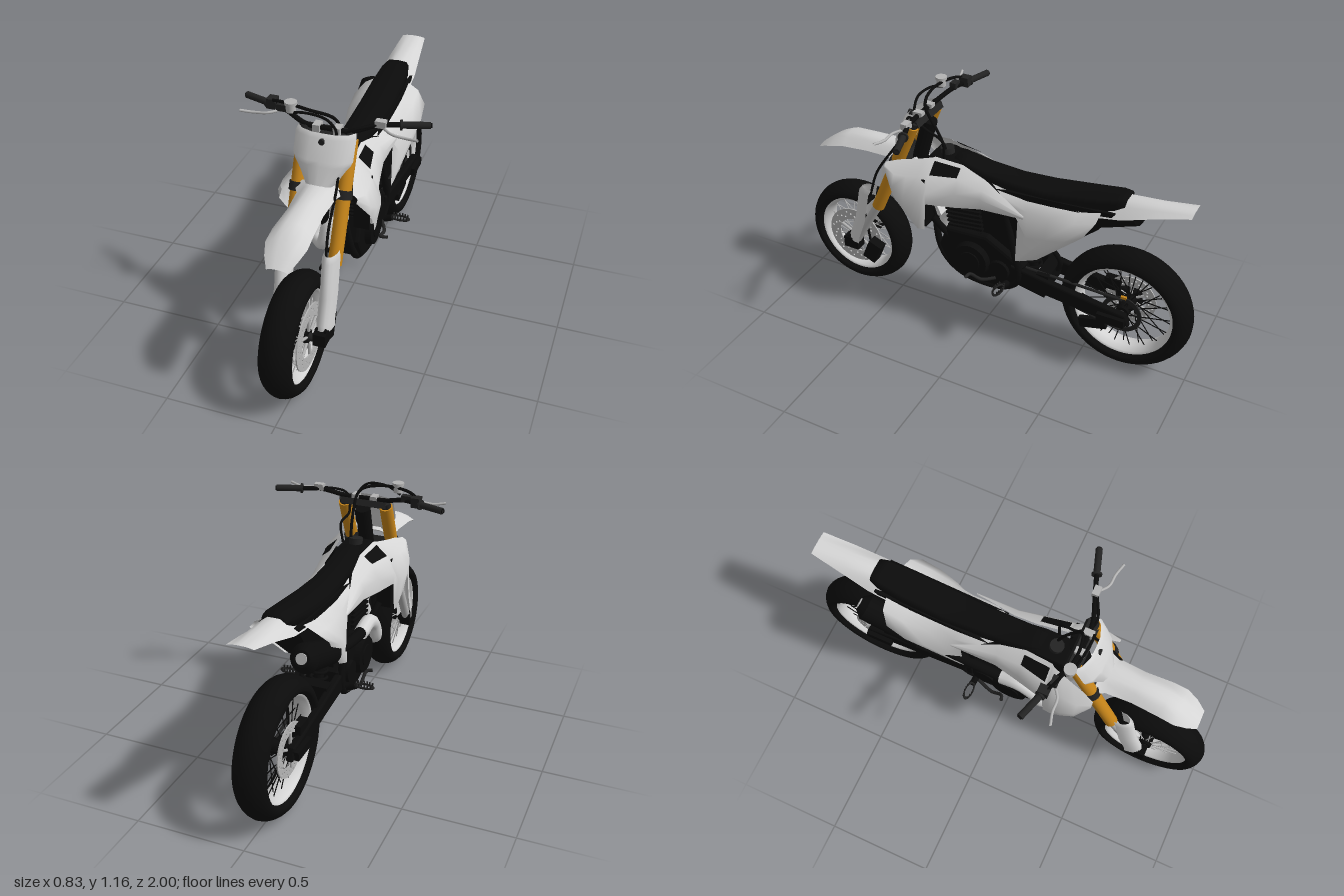
import * as THREE from 'three';

const mat = (name, color) => {
  const m = new THREE.MeshStandardMaterial({ color, side: THREE.DoubleSide });
  m.name = name;
  return m;
};

export function createModel() {
  const root = new THREE.Group();
  root.name = 'dirtBike';
  const plastic = mat('lightPlastic', 0xd4d4d4), black = mat('black', 0x0b0b0b);
  const gold = mat('gold', 0xc8861a), silver = mat('silver', 0xb4b4b4), dark = mat('darkGrey', 0x222222);

  const V = (p) => new THREE.Vector3(...p);
  const add = (name, geo, m, parent = root) => {
    const mesh = new THREE.Mesh(geo, m);
    mesh.name = name;
    parent.add(mesh);
    return mesh;
  };
  const both = (fn) => [1, -1].forEach(fn);
  const box = (name, m, size, pos, rx = 0) => {
    const b = add(name, new THREE.BoxGeometry(...size), m);
    b.position.set(...pos);
    b.rotation.x = rx;
    return b;
  };
  // straight round bar from a to b
  const rod = (name, m, a, b, ra, rb = ra, sides = 16, parent = root) => {
    const A = V(a), B = V(b), d = B.clone().sub(A);
    const r = add(name, new THREE.CylinderGeometry(rb, ra, d.length(), sides), m, parent);
    r.position.copy(A).add(B).multiplyScalar(0.5);
    r.quaternion.setFromUnitVectors(new THREE.Vector3(0, 1, 0), d.normalize());
    return r;
  };
  const tube = (name, m, pts, r, n = 40) =>
    add(name, new THREE.TubeGeometry(new THREE.CatmullRomCurve3(pts.map(V)), n, r, 10), m);
  // profile of [z, y] points, thickened from x0 to x1
  const slab = (name, m, pts, x0, x1, bevel = 0) => {
    const g = new THREE.ExtrudeGeometry(new THREE.Shape(pts.map((p) => new THREE.Vector2(...p))), {
      depth: x1 - x0 - 2 * bevel, bevelEnabled: bevel > 0, bevelThickness: bevel, bevelSize: bevel,
      bevelOffset: -bevel, bevelSegments: 2 });
    g.rotateY(-Math.PI / 2).translate(x1 - bevel, 0, 0);
    return add(name, g, m);
  };
  // skin through equal-length rows of [x, y, z] points
  const loft = (name, m, rows, s = 1, closed = false) => {
    const n = rows[0].length, pos = [], idx = [];
    rows.forEach((r) => r.forEach(([x, y, z]) => pos.push(x * s, y, z)));
    for (let i = 0; i < rows.length - 1; i++)
      for (let j = 0; j < (closed ? n : n - 1); j++) {
        const k = (j + 1) % n, a = i * n + j, b = i * n + k;
        idx.push(a, b, a + n, b, b + n, a + n);
      }
    if (closed) [0, (rows.length - 1) * n].forEach((o) => {
      for (let j = 1; j < n - 1; j++) idx.push(o, o + (o ? j : j + 1), o + (o ? j + 1 : j));
    });
    const g = new THREE.BufferGeometry();
    g.setAttribute('position', new THREE.Float32BufferAttribute(pos, 3));
    g.setIndex(idx);
    g.computeVertexNormals();
    return add(name, g, m);
  };

  // Wheels: tyre, rim, hub, spokes, brake disc
  const wheel = (name, x, y, z, R, rimR, w, spokeMat, discSide, discR) => {
    const g = new THREE.Group();
    g.name = name;
    g.position.set(x, y, z);
    root.add(g);
    const ring = (part, m, pts) => {
      const l = new THREE.LatheGeometry(pts.map((p) => new THREE.Vector2(...p)), 56);
      add(part, l.rotateZ(Math.PI / 2), m, g);
    };
    const t = R - rimR;
    const half = [[rimR, 0.68], [rimR + t * 0.12, 0.92], [R - t * 0.74, 1], [R - t * 0.52, 0.93], [R - t * 0.34, 0.78],
      [R - t * 0.17, 0.56], [R - t * 0.06, 0.32]];
    ring('tyre', black, [...half.map(([r, u]) => [r, -u * w]), [R, 0], ...half.reverse().map(([r, u]) => [r, u * w])]);
    ring('rim', plastic, [[rimR + 0.006, -w * 0.68], [rimR - 0.012, -w * 0.64], [rimR - 0.022, -w * 0.2],
      [rimR - 0.022, w * 0.2], [rimR - 0.012, w * 0.64], [rimR + 0.006, w * 0.68]]);
    rod('hub', black, [-0.06, 0, 0], [0.06, 0, 0], 0.032, 0.032, 20, g);
    rod('axle', dark, [-0.11, 0, 0], [0.11, 0, 0], 0.018, 0.018, 12, g);
    for (let i = 0; i < 36; i++) {
      const a = (i / 36) * Math.PI * 2, b = a + (i % 4 < 2 ? 0.35 : -0.35), s = i % 2 ? 1 : -1, r = rimR - 0.02;
      rod('spoke', spokeMat, [s * 0.045, Math.cos(b) * 0.034, Math.sin(b) * 0.034],
        [s * 0.01, Math.cos(a) * r, Math.sin(a) * r], 0.0026, 0.0026, 5, g);
    }
    const disc = (part, m, r, inner, px, holes) => {
      const sh = new THREE.Shape().absarc(0, 0, r, 0, Math.PI * 2);
      sh.holes.push(new THREE.Path().absarc(0, 0, inner, 0, Math.PI * 2, true));
      for (let i = 0; i < holes; i++) {
        const a = (i / holes) * Math.PI * 2, q = inner + (r - inner) * (0.28 + 0.22 * (i % 3));
        sh.holes.push(new THREE.Path().absarc(Math.cos(a) * q, Math.sin(a) * q, 0.005, 0, Math.PI * 2, true));
      }
      const d = add(part, new THREE.ExtrudeGeometry(sh, { depth: 0.006, bevelEnabled: false, curveSegments: 20 }), m, g);
      d.rotation.y = Math.PI / 2;
      d.position.x = px;
    };
    disc('brakeDisc', silver, discR, discR * 0.62, discSide * 0.058, 36);
    for (let i = 0; i < 6; i++) {
      const a = (i * Math.PI) / 3, c = Math.cos(a), s = Math.sin(a), q = discR * 0.7;
      rod('discArm', silver, [discSide * 0.058, c * 0.03, s * 0.03], [discSide * 0.06, c * q, s * q], 0.007, 0.007, 6, g);
    }
    if (discSide < 0) disc('sprocket', dark, 0.095, 0.075, 0.06, 0);
  };
  wheel('frontWheel', -0.008, 0.28, 0.725, 0.277, 0.205, 0.074, silver, 1, 0.15);
  wheel('rearWheel', -0.012, 0.312, -0.688, 0.312, 0.235, 0.077, black, -1, 0.122);
  box('chainLink', gold, [0.012, 0.012, 0.025], [0.06, 0.413, -0.695]);

  // Fork legs, guards and clamps
  const fz = (y) => 0.337 + (1.016 - y) * 0.432;
  both((s) => {
    const x = s * 0.102;
    rod('forkTube', gold, [x, 0.54, fz(0.54)], [x, 1.03, fz(1.03)], 0.03, 0.031, 20);
    rod('forkSlider', silver, [x, 0.29, 0.69], [x, 0.56, fz(0.56)], 0.021);
    rod('forkCap', dark, [x, 1.03, fz(1.03)], [x, 1.055, fz(1.055)], 0.024);
    rod('forkClamp', dark, [x, 0.80, fz(0.80)], [x, 0.835, fz(0.835)], 0.037);
    box('axleLug', black, [0.055, 0.06, 0.08], [x, 0.285, 0.705]);
    const rows = [[0.635, 0.6], [0.61, 0.612], [0.45, 0.645], [0.34, 0.685], [0.305, 0.69]].map(([y, z], k) =>
      Array.from({ length: 9 }, (_, i) => {
        const a = (i / 8) * Math.PI, r = k === 0 ? 0.03 : 0.037;
        return [x + r * Math.cos(a), y, z - 0.04 + (r + 0.035) * Math.sin(a)];
      }));
    loft('forkGuard', plastic, rows);
    both((t) => rod('guardBolt', black, [x + t * 0.02, 0.322, 0.71], [x + t * 0.02, 0.322, 0.724], 0.007, 0.007, 8));
  });
  box('lowerClamp', dark, [0.2, 0.04, 0.07], [0, 0.82, fz(0.82)], 0.4);
  box('upperClamp', dark, [0.22, 0.03, 0.06], [0, 1.035, fz(1.03) - 0.005], 0.4);
  rod('steeringHead', black, [0, 0.78, 0.37], [0, 1.02, 0.3], 0.035);
  box('frontCaliper', black, [0.05, 0.11, 0.07], [0.085, 0.25, 0.6], -0.4);
  tube('brakeHose', black, [[0.05, 1.03, 0.355], [0.07, 0.95, 0.395], [0.082, 0.87, 0.45], [0.08, 0.71, 0.555], [0.085, 0.57, 0.6],
    [0.1, 0.5, 0.63], [0.075, 0.42, 0.64], [0.08, 0.28, 0.62]], 0.006);
  box('hoseClip', black, [0.07, 0.015, 0.03], [0.095, 0.56, 0.6]);

  // Fenders: [z, half width, crown height, edge drop]
  const fender = (name, list) => loft(name, plastic, list.map(([z, w, y, d]) =>
    [[-1, 1], [-0.62, 0.3], [-0.3, 0], [0, 0], [0.3, 0], [0.62, 0.3], [1, 1]].map(([u, v]) => [u * w, y - v * d, z])));
  fender('frontFender', [[0.43, 0.118, 0.866, 0.03], [0.48, 0.085, 0.866, 0.045], [0.6, 0.078, 0.866, 0.05],
    [0.73, 0.086, 0.855, 0.045], [0.8, 0.088, 0.822, 0.028], [0.855, 0.07, 0.785, 0.015], [0.9, 0.045, 0.75, 0.008]]);
  fender('rearFender', [[-0.45, 0.085, 0.845, 0.03], [-0.56, 0.09, 0.875, 0.06], [-0.66, 0.088, 0.898, 0.065],
    [-0.8, 0.074, 0.906, 0.03], [-0.945, 0.058, 0.917, 0.006]]);

  // Front plate
  loft('frontPlate', plastic, [[1.062, 0.125, 0.38], [1.045, 0.132, 0.397], [0.96, 0.131, 0.436], [0.94, 0.122, 0.443], [0.84, 0.055, 0.48]]
    .map(([y, w, z]) => [-1, -0.8, -0.4, 0, 0.4, 0.8, 1].map((u) => [u * w, y, z - 0.045 * u ** 4])));
  rod('plateBolt', dark, [0, 1.035, 0.39], [0, 1.035, 0.408], 0.013);

  // Shrouds, side panels, radiators
  both((s) => {
    loft('shroud', plastic, [
      [0.45, 0.15, 0.84, 0.165, 0.83, 0.17, 0.82, 0.165, 0.8], [0.39, 0.13, 0.858, 0.185, 0.808, 0.208, 0.755, 0.205, 0.71],
      [0.33, 0.115, 0.868, 0.18, 0.812, 0.216, 0.715, 0.202, 0.63],
      [0.275, 0.1, 0.88, 0.17, 0.82, 0.217, 0.7, 0.188, 0.55], [0.24, 0.09, 0.888, 0.155, 0.825, 0.205, 0.71, 0.186, 0.555],
      [0.23, 0.08, 0.89, 0.15, 0.825, 0.19, 0.75, 0.185, 0.695], [0.1, 0.065, 0.875, 0.125, 0.83, 0.155, 0.77, 0.155, 0.7],
      [-0.02, 0.075, 0.835, 0.115, 0.8, 0.133, 0.765, 0.133, 0.715], [-0.235, 0.135, 0.745, 0.138, 0.742, 0.14, 0.738, 0.135, 0.73],
    ].map(([z, ...p]) => [0, 2, 4, 6].map((i) => [p[i], p[i + 1], z])), s);
    loft('shroudInset', black, [
      [[0.098, 0.879, 0.225], [0.15, 0.832, 0.225]], [[0.085, 0.868, 0.1], [0.124, 0.838, 0.1]]], s);
    loft('sidePanel', plastic, [
      [[0.07, 0.825, -0.05], [0.1, 0.795, -0.11], [0.115, 0.765, -0.16], [0.12, 0.735, -0.2]],
      [[0.08, 0.8, -0.22], [0.115, 0.76, -0.24], [0.14, 0.64, -0.25], [0.12, 0.48, -0.19]],
      [[0.085, 0.8, -0.34], [0.13, 0.765, -0.35], [0.17, 0.68, -0.35], [0.125, 0.49, -0.215]],
      [[0.085, 0.81, -0.46], [0.14, 0.785, -0.47], [0.187, 0.71, -0.44], [0.13, 0.53, -0.3]],
      [[0.085, 0.84, -0.57], [0.135, 0.812, -0.565], [0.18, 0.76, -0.53], [0.135, 0.57, -0.34]]], s);
    box('radiator', black, [0.07, 0.25, 0.05], [s * 0.133, 0.685, 0.265]);
    for (let i = 0; i < 5; i++) box('louvre', plastic, [0.012, 0.03, 0.02], [s * 0.178, 0.61 + i * 0.033, 0.28]);
  });
  box('frontFramePanel', plastic, [0.11, 0.3, 0.02], [0, 0.69, 0.3], 0.45);

  // Seat: [z, half width, top, bottom]
  loft('seat', black, [[0.155, 0.045, 0.893, 0.86], [0.1, 0.058, 0.886, 0.82], [0, 0.065, 0.864, 0.8], [-0.15, 0.07, 0.852, 0.79],
    [-0.3, 0.08, 0.856, 0.785], [-0.5, 0.077, 0.884, 0.8], [-0.62, 0.066, 0.907, 0.84], [-0.66, 0.055, 0.908, 0.87]]
    .map(([z, w, t, b]) => [[-w, b, z], [-w, t - 0.02, z], [-w * 0.8, t - 0.004, z], [0, t, z],
      [w * 0.8, t - 0.004, z], [w, t - 0.02, z], [w, b, z]]), 1, true);

  // Frame, airbox and tank
  slab('airbox', black, [[-0.05, 0.81], [-0.63, 0.85], [-0.56, 0.75], [-0.36, 0.57], [-0.2, 0.5], [-0.12, 0.66]], -0.085, 0.085);
  slab('tank', black, [[0.27, 0.88], [0.14, 0.88], [-0.1, 0.81], [-0.15, 0.7], [0.2, 0.69], [0.33, 0.78]], -0.065, 0.065, 0.012);
  rod('tankCap', dark, [0, 0.87, 0.21], [0, 0.905, 0.215], 0.032);
  both((s) => {
    tube('frameRail', black, [[0, 0.82, 0.33], [s * 0.04, 0.6, 0.27], [s * 0.065, 0.38, 0.22], [s * 0.065, 0.28, 0.12],
      [s * 0.08, 0.275, -0.1], [s * 0.095, 0.36, -0.2], [s * 0.095, 0.52, -0.17], [s * 0.07, 0.75, -0.1]], 0.017);
    // Swingarm
    slab('swingarm', black, [[-0.16, 0.43], [-0.4, 0.39], [-0.72, 0.345], [-0.74, 0.29], [-0.6, 0.29], [-0.4, 0.315], [-0.16, 0.34]],
      s > 0 ? 0.07 : -0.105, s > 0 ? 0.105 : -0.07, 0.008);
    box('axleBlock', black, [0.03, 0.04, 0.13], [s * 0.11, 0.312, -0.66]);
    rod('chainRun', dark, [0.06, 0.312 + s * 0.085, -0.688], [0.06, 0.385 + s * 0.03, -0.12], 0.007, 0.007, 6);
    // Foot pegs
    const peg = add('footPeg', new THREE.TorusGeometry(0.034, 0.006, 6, 20), dark);
    peg.rotation.x = Math.PI / 2;
    peg.scale.set(1.25, 0.55, 1);
    peg.position.set(s * 0.185, 0.34, -0.14);
    for (let i = 0; i < 6; i++) both((t) => box('pegTooth', dark, [0.006, 0.014, 0.006],
      [s * (0.15 + i * 0.014), 0.35, -0.14 + t * (0.012 + 0.003 * Math.min(i, 5 - i))]));
    rod('pegMount', black, [s * 0.08, 0.31, -0.14], [s * 0.145, 0.335, -0.14], 0.016);
  });
  box('swingarmBridge', black, [0.17, 0.08, 0.06], [0, 0.375, -0.31]);
  box('shockLinkage', black, [0.07, 0.05, 0.14], [0, 0.285, -0.24], -0.2);
  box('chainGuide', black, [0.025, 0.05, 0.13], [0.06, 0.22, -0.56], 0.25);
  box('rearCaliper', black, [0.04, 0.06, 0.08], [-0.075, 0.37, -0.6]);
  rod('shock', black, [0, 0.3, -0.24], [0, 0.68, -0.2], 0.022);
  for (let i = 0; i < 7; i++) {
    const c = add('shockCoil', new THREE.TorusGeometry(0.037, 0.007, 6, 18), black);
    c.rotation.x = Math.PI / 2 + 0.1;
    c.position.set(0, 0.4 + i * 0.032, -0.23 + i * 0.0035);
  }
  tube('rearMudFlap', black, [[0.02, 0.54, -0.32], [0.02, 0.47, -0.37], [0.02, 0.42, -0.36]], 0.012);

  // Engine
  slab('crankcase', black, [[0.18, 0.53], [0.22, 0.42], [0.16, 0.3], [0.05, 0.27], [-0.12, 0.28], [-0.21, 0.34],
    [-0.22, 0.43], [-0.1, 0.5], [-0.03, 0.54]], -0.095, 0.095, 0.015);
  slab('intake', black, [[0.02, 0.7], [-0.14, 0.71], [-0.2, 0.62], [-0.2, 0.44], [0.02, 0.48]], -0.06, 0.06);
  box('cylinder', black, [0.13, 0.2, 0.15], [0, 0.58, 0.09], 0.12);
  for (let i = 0; i < 6; i++) box('coolingFin', black, [0.155, 0.01, 0.18], [0, 0.525 + i * 0.022, 0.085 + i * 0.003], 0.12);
  box('cylinderHead', black, [0.15, 0.06, 0.17], [0, 0.68, 0.1], 0.12);
  both((s) => {
    rod('engineCover', black, [s * 0.08, 0.4, 0.04], [s * 0.125, 0.4, 0.04], 0.095, 0.085, 28);
    rod('coverCap', black, [s * 0.12, 0.4, 0.04], [s * 0.13, 0.4, 0.04], 0.052, 0.05, 24);
    rod('smallCover', black, [s * 0.08, 0.38, -0.1], [s * 0.11, 0.38, -0.1], 0.055, 0.05, 20);
    rod('coolantHose', black, [s * 0.07, 0.45, 0.15], [s * 0.11, 0.58, 0.24], 0.016);
  });
  tube('shiftLever', dark, [[0.11, 0.34, -0.09], [0.14, 0.33, -0.03], [0.14, 0.34, 0.03], [0.175, 0.345, 0.035]], 0.008);
  tube('brakePedal', dark, [[-0.1, 0.3, -0.14], [-0.13, 0.29, -0.05], [-0.14, 0.33, 0.01], [-0.165, 0.335, 0.02]], 0.008);

  // Exhaust
  tube('headerPipe', plastic, [[-0.03, 0.6, 0.17], [-0.035, 0.52, 0.245], [-0.06, 0.41, 0.25], [-0.1, 0.41, 0.215],
    [-0.113, 0.51, 0.15], [-0.113, 0.545, 0.09], [-0.112, 0.53, 0]], 0.035);
  tube('midPipe', black, [[-0.112, 0.53, 0], [-0.115, 0.55, -0.12], [-0.12, 0.59, -0.28], [-0.13, 0.64, -0.42]], 0.026);
  rod('muffler', black, [-0.125, 0.64, -0.4], [-0.13, 0.745, -0.66], 0.055, 0.063, 24);
  rod('mufflerEnd', black, [-0.13, 0.745, -0.66], [-0.13, 0.757, -0.69], 0.063, 0.035, 24);
  rod('exhaustTip', silver, [-0.13, 0.753, -0.68], [-0.13, 0.759, -0.695], 0.024);

  // Handlebar and controls
  tube('handlebar', black, [[-0.41, 1.09, 0.22], [-0.28, 1.092, 0.262], [-0.2, 1.09, 0.29], [-0.1, 1.062, 0.325], [0, 1.06, 0.33],
    [0.1, 1.062, 0.325], [0.2, 1.09, 0.29], [0.28, 1.092, 0.262], [0.41, 1.09, 0.22]], 0.011, 64);
  both((s) => {
    rod('grip', dark, [s * 0.29, 1.091, 0.259], [s * 0.405, 1.09, 0.222], 0.015);
    rod('gripFlange', dark, [s * 0.287, 1.091, 0.26], [s * 0.296, 1.091, 0.257], 0.023);
    tube('lever', silver, [[s * 0.22, 1.085, 0.29], [s * 0.27, 1.08, 0.325], [s * 0.33, 1.075, 0.33], [s * 0.385, 1.082, 0.345]], 0.006);
    box('leverPerch', s > 0 ? silver : dark, [0.045, 0.03, 0.03], [s * 0.215, 1.1, 0.29]);
    box('barMount', silver, [0.03, 0.045, 0.045], [s * 0.045, 1.055, 0.33]);
  });
  rod('fluidReservoir', silver, [-0.16, 1.11, 0.33], [-0.16, 1.145, 0.33], 0.021);
  rod('reservoirCap', silver, [-0.16, 1.143, 0.33], [-0.16, 1.156, 0.33], 0.027);
  box('throttleHousing', dark, [0.04, 0.045, 0.045], [-0.27, 1.1, 0.265]);
  tube('throttleCable', black, [[-0.28, 1.11, 0.27], [-0.22, 1.13, 0.3], [-0.08, 1.13, 0.33], [0.02, 1.1, 0.31], [0.03, 0.98, 0.24], [0.02, 0.88, 0.2]], 0.007);
  tube('clutchCable', black, [[0.22, 1.1, 0.29], [0.1, 1.07, 0.34], [0.06, 1.0, 0.28], [0.07, 0.97, 0.2], [0.06, 0.88, 0.2]], 0.006);
  tube('frontBrakeLine', black, [[-0.17, 1.1, 0.33], [-0.1, 1.125, 0.35], [0, 1.12, 0.36], [0.04, 1.08, 0.355], [0.05, 1.03, 0.355]], 0.006);

  return root;
}
